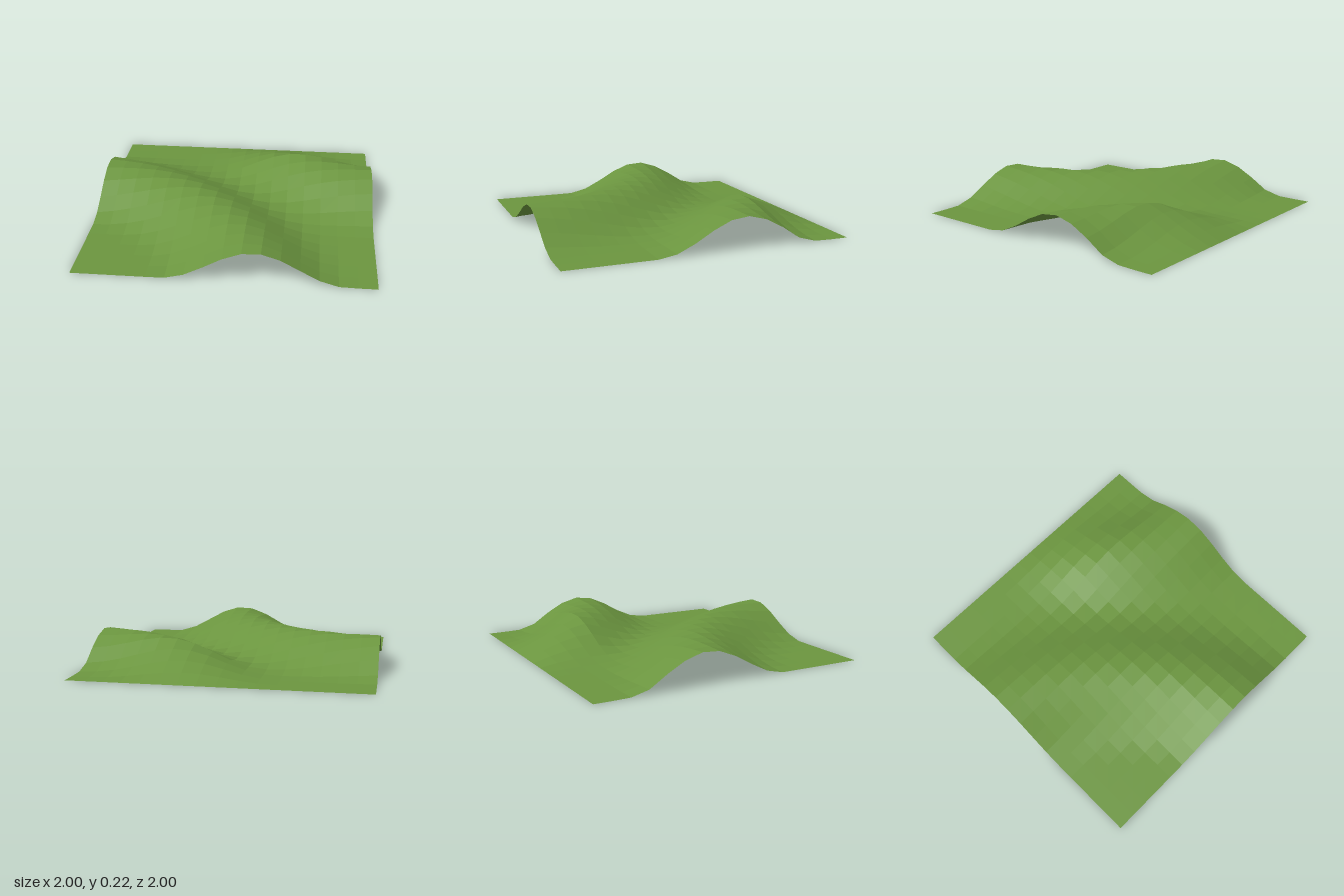
import * as THREE from 'three';

// Two shallow arcs that the ridge crests follow
const distanceToLongArc = (x, z) => Math.hypot(x + 1.32, z - 1.31) - 1.55;
const distanceToShortArc = (x, z) => Math.hypot(x - 1.08, z + 1.09) - 0.87;

// Height of the ground: rounded ridges along both arcs, with a smooth valley between them
function terrainHeight(x, z) {
  const a = distanceToLongArc(x, z);
  const b = distanceToShortArc(x, z);
  const nearest = Math.abs(a * b) / Math.pow(a ** 4 + b ** 4, 0.25);
  const ridge = Math.cos(Math.min(nearest / 0.58, 1) * Math.PI / 2) ** 2;
  const crest = 0.205 + 0.015 * (x * x + z * z);
  // The ground flattens towards the straight back edge
  const fade = Math.min(1, (z + 1) / 0.5);
  return crest * ridge * fade;
}

// One flat normal for each square cell, shared by its two triangles
function setCellNormals(geometry) {
  geometry.computeVertexNormals();
  const normals = geometry.attributes.normal;
  const first = new THREE.Vector3();
  const second = new THREE.Vector3();
  for (let i = 0; i < normals.count; i += 6) {
    first.fromBufferAttribute(normals, i);
    second.fromBufferAttribute(normals, i + 3);
    first.add(second).normalize();
    for (let k = 0; k < 6; k++) normals.setXYZ(i + k, first.x, first.y, first.z);
  }
}

export function createModel() {
  const group = new THREE.Group();
  group.name = 'terrainTile';

  const grass = new THREE.MeshStandardMaterial({ color: 0x6b953f, side: THREE.DoubleSide });
  grass.name = 'grassGreen';

  // Square sheet raised into hills
  const geometry = new THREE.PlaneGeometry(2, 2, 16, 16).rotateX(-Math.PI / 2).toNonIndexed();
  const pos = geometry.attributes.position;
  for (let i = 0; i < pos.count; i++) {
    pos.setY(i, terrainHeight(pos.getX(i), pos.getZ(i)));
  }
  setCellNormals(geometry);

  const ground = new THREE.Mesh(geometry, grass);
  ground.name = 'hillyGround';
  group.add(ground);
  return group;
}
